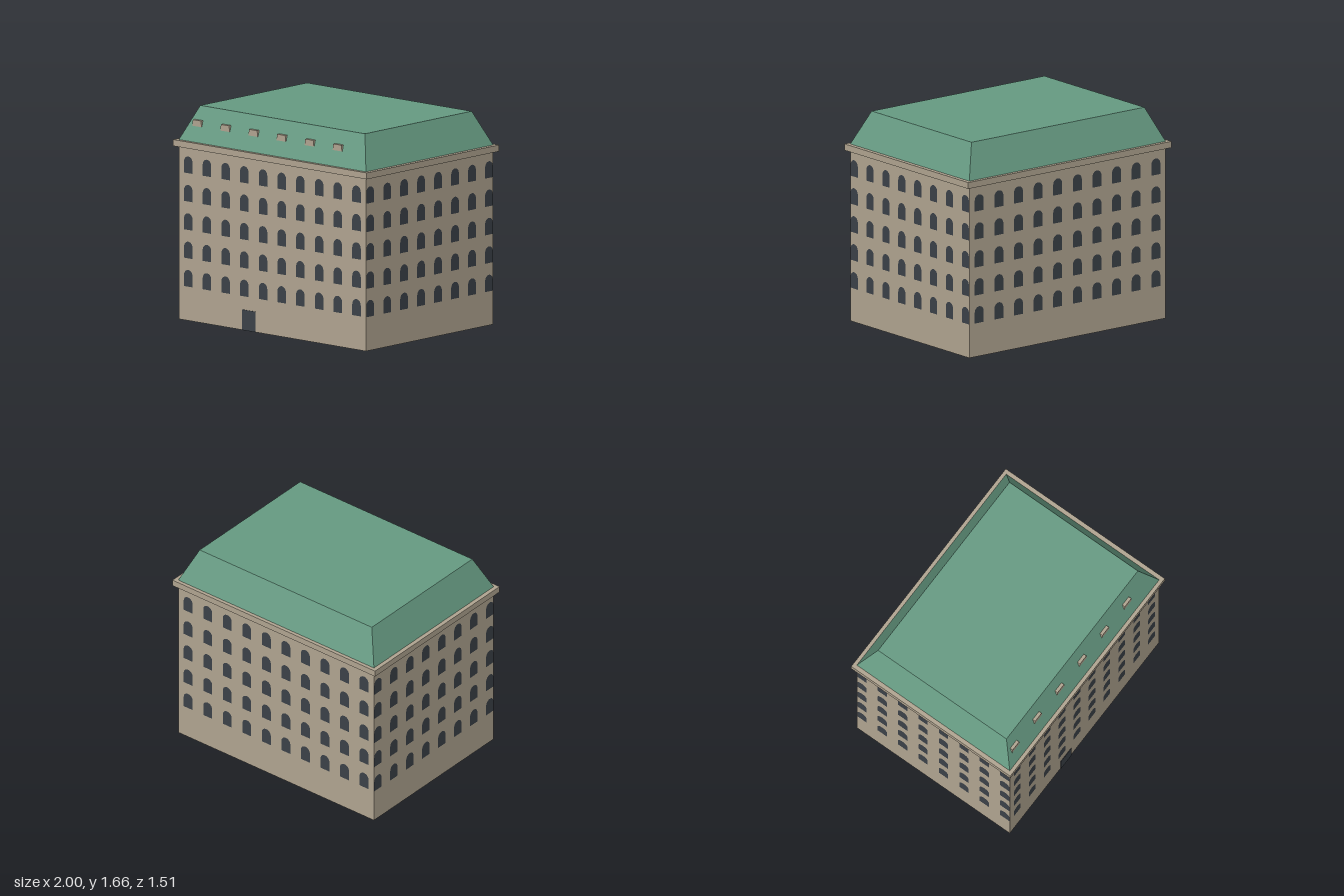
import * as THREE from 'three';

const stone = new THREE.MeshStandardMaterial({ color: 0xb0a490, side: THREE.DoubleSide });
stone.name = 'stone';
const copper = new THREE.MeshStandardMaterial({ color: 0x669a82 });
copper.name = 'copperGreen';
const glass = new THREE.MeshStandardMaterial({ color: 0x3b4148, side: THREE.DoubleSide });
glass.name = 'darkGlass';

const HALF_X = 0.966, HALF_Z = 0.727, WALL_TOP = 1.35, EAVES = 1.4, ROOF_TOP = 1.665;

function add(parent, name, geometry, material, x = 0, y = 0, z = 0) {
  const mesh = new THREE.Mesh(geometry, material);
  mesh.name = name;
  mesh.position.set(x, y, z);
  parent.add(mesh);
  return mesh;
}

// Round-headed window outline, standing on y
function windowOutline(path, x, y, halfWidth = 0.044, height = 0.13) {
  path.moveTo(x - halfWidth, y);
  path.lineTo(x + halfWidth, y);
  path.lineTo(x + halfWidth, y + height - halfWidth);
  path.absarc(x, y + height - halfWidth, halfWidth, 0, Math.PI, false);
  path.closePath();
  return path;
}

// Thin wall pierced by five rows of windows, with the panes flush in the openings
function makeWall(name, halfWidth, columns, pitch) {
  const wall = new THREE.Group();
  wall.name = name;
  const face = new THREE.Shape();
  face.moveTo(-halfWidth, 0);
  face.lineTo(halfWidth, 0);
  face.lineTo(halfWidth, WALL_TOP);
  face.lineTo(-halfWidth, WALL_TOP);
  face.closePath();
  const panes = [];
  for (let row = 0; row < 5; row++) {
    for (let col = 0; col < columns; col++) {
      const x = (col - (columns - 1) / 2) * pitch;
      const y = 0.264 + row * 0.2215;
      face.holes.push(windowOutline(new THREE.Path(), x, y));
      panes.push(windowOutline(new THREE.Shape(), x, y));
    }
  }
  add(wall, 'wallFace', new THREE.ShapeGeometry(face, 8), stone);
  add(wall, 'windows', new THREE.ShapeGeometry(panes, 8), glass);
  return wall;
}

// Box on y = 0 whose top is scaled inwards
function taperedBox(width, height, depth, scaleX, scaleZ) {
  const geometry = new THREE.BoxGeometry(width, height, depth).translate(0, height / 2, 0);
  const p = geometry.attributes.position;
  for (let i = 0; i < p.count; i++) {
    if (p.getY(i) > height / 2) {
      p.setX(i, p.getX(i) * scaleX);
      p.setZ(i, p.getZ(i) * scaleZ);
    }
  }
  geometry.computeVertexNormals();
  return geometry;
}

export function createModel() {
  const building = new THREE.Group();
  building.name = 'building';

  // Four walls, open underneath
  const walls = [
    ['frontWall', HALF_X, 10, 0.193, 0, HALF_Z],
    ['leftWall', HALF_Z, 8, 0.194, 1, HALF_X],
    ['backWall', HALF_X, 10, 0.193, 2, HALF_Z],
    ['rightWall', HALF_Z, 8, 0.194, 3, HALF_X],
  ];
  for (const [name, halfWidth, columns, pitch, turn, distance] of walls) {
    const wall = makeWall(name, halfWidth, columns, pitch);
    const angle = turn * Math.PI / 2;
    wall.rotation.y = angle;
    wall.position.set(Math.sin(angle) * distance, 0, Math.cos(angle) * distance);
    building.add(wall);
  }

  // Front door plate
  add(building, 'door', new THREE.BoxGeometry(0.138, 0.16, 0.004), glass, -0.241, 0.08, HALF_Z + 0.003);

  // Cornice and mansard roof
  add(building, 'cornice', new THREE.BoxGeometry(2, EAVES - WALL_TOP, 1.512), stone, 0, (EAVES + WALL_TOP) / 2, 0);
  add(building, 'roof',
    taperedBox(HALF_X * 2, ROOF_TOP - EAVES, HALF_Z * 2, 0.85 / HALF_X, 0.61 / HALF_Z), copper, 0, EAVES, 0);

  // Row of small dormers on the front slope
  for (let i = 0; i < 6; i++) {
    add(building, 'dormer', taperedBox(0.096, 0.048, 0.06, 0.87, 1), stone, -0.822 + i * 0.29, 1.514, 0.65);
  }
  return building;
}
